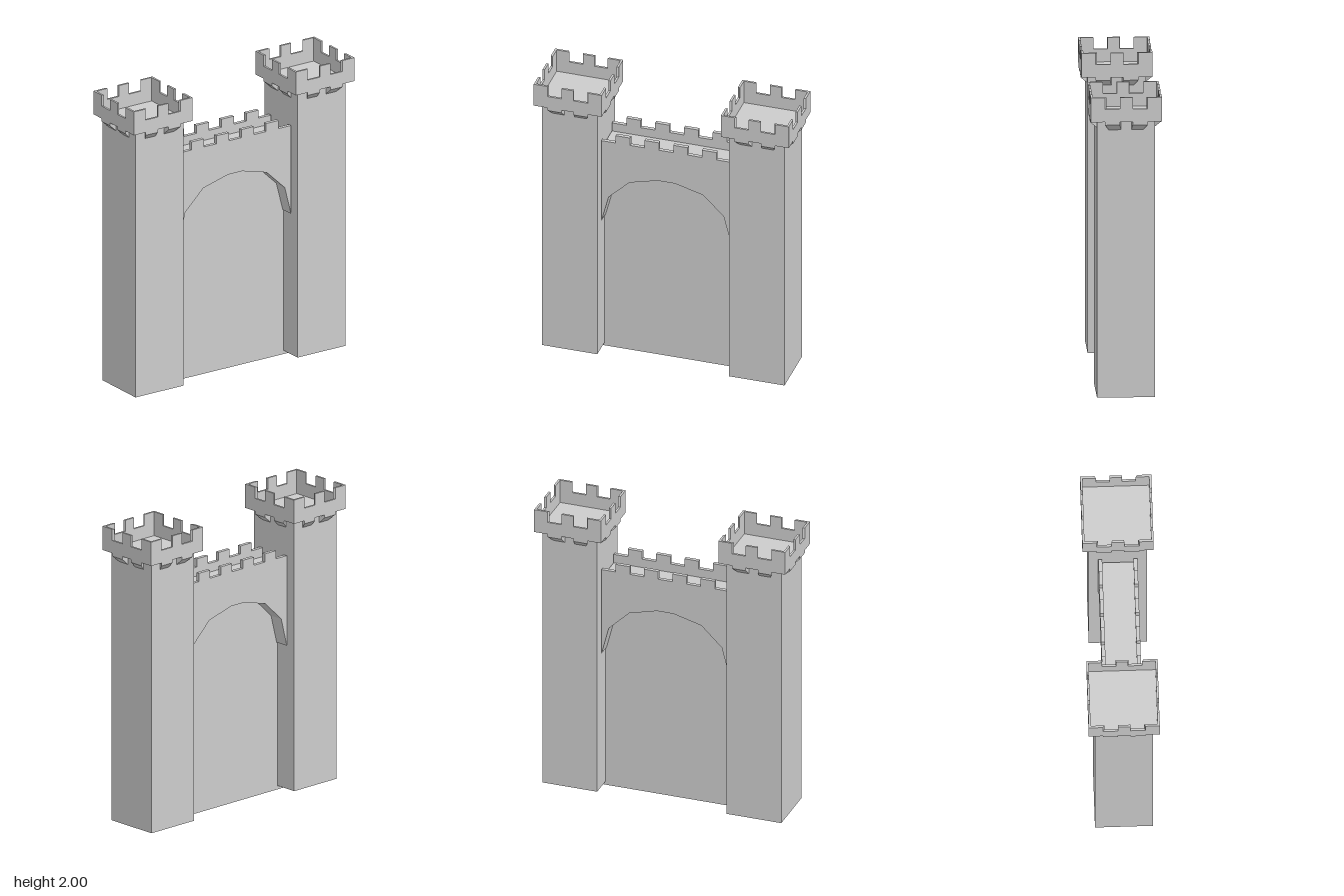
import * as THREE from 'three';

const mat = new THREE.MeshStandardMaterial({ color: 0xcccccc, flatShading: true, side: THREE.DoubleSide });

function add(parent, geometry, name, x = 0, y = 0, z = 0) {
  const mesh = new THREE.Mesh(geometry, mat);
  mesh.name = name;
  mesh.position.set(x, y, z);
  parent.add(mesh);
  return mesh;
}

const TOWER_X = 0.627, TOWER_R = 0.186, CROWN_R = 0.2275;
const FLOOR_Y = 1.84, TOP_Y = 2, BASE_Y = 0.025;

// Prism on one side of the crown: a quad profile of [scale, y] points, counter-clockwise
// as seen from +x with +z to the left, swept from u0 to u1 and shrinking towards the axis
function sector(profile, u0, u1) {
  const pos = [];
  for (const u of [u0, u1]) for (const [k, y] of profile) pos.push(u * k, y, CROWN_R * k);
  const index = [0, 2, 1, 0, 3, 2, 4, 5, 6, 4, 6, 7];
  for (let i = 0; i < 4; i++) {
    const j = (i + 1) % 4;
    index.push(i, j, j + 4, i, j + 4, i + 4);
  }
  const g = new THREE.BufferGeometry();
  g.setAttribute('position', new THREE.Float32BufferAttribute(pos, 3));
  g.setIndex(index);
  g.computeVertexNormals();
  return g;
}

function buildTower(name, x) {
  const tower = new THREE.Group();
  tower.name = name;
  tower.position.x = x;

  // Square shaft, open underneath
  const h = FLOOR_Y - BASE_Y;
  const shaft = new THREE.CylinderGeometry(TOWER_R * Math.SQRT2, TOWER_R * Math.SQRT2, h, 4, 1, true);
  add(tower, shaft.rotateY(Math.PI / 4), 'shaft', 0, BASE_Y + h / 2);

  // Crown floor, overhanging the shaft
  const floor = new THREE.PlaneGeometry(CROWN_R * 2, CROWN_R * 2).rotateX(-Math.PI / 2);
  add(tower, floor, 'crownFloor', 0, FLOOR_Y);

  // Four crown sides: merlon, gap, merlon, gap, merlon, with a corbel below each gap
  const cuts = [-CROWN_R, -0.136, -0.041, 0.041, 0.136, CROWN_R];
  const inner = 0.938, foot = TOWER_R / CROWN_R;
  for (let s = 0; s < 4; s++) {
    const side = new THREE.Group();
    side.name = 'crownSide';
    side.rotation.y = s * Math.PI / 2;
    for (let i = 0; i < 5; i++) {
      const gap = i % 2 === 1, top = gap ? 1.925 : TOP_Y;
      const rim = [[1, FLOOR_Y], [inner, FLOOR_Y], [inner, top], [1, top]];
      add(side, sector(rim, cuts[i], cuts[i + 1]), gap ? 'crenel' : 'merlon');
      if (gap) {
        const corbel = [[1, 1.82], [foot, 1.78], [foot, FLOOR_Y], [1, FLOOR_Y]];
        add(side, sector(corbel, cuts[i], cuts[i + 1]), 'corbel');
      }
    }
    tower.add(side);
  }
  return tower;
}

// Wall outline with an arched underside, and merlons along the top if wanted
function wallShape(top, merlonTop) {
  const W = 0.434, step = W * 2 / 9;
  const arch = [[-W, 0.99], [-0.385, 1.18], [-0.245, 1.315], [-0.055, 1.365]];
  const pts = [...arch, ...arch.map(([x, y]) => [-x, y]).reverse(), [W, top]];
  if (merlonTop) {
    for (let i = 3; i >= 0; i--) {
      const a = -W + step * (2 * i + 1), b = a + step;
      pts.push([b, top], [b, merlonTop], [a, merlonTop], [a, top]);
    }
  }
  pts.push([-W, top]);
  return new THREE.Shape(pts.map(([x, y]) => new THREE.Vector2(x, y)));
}

function buildWall() {
  const wall = new THREE.Group();
  wall.name = 'wall';
  const slab = (shape, depth) =>
    new THREE.ExtrudeGeometry(shape, { depth, bevelEnabled: false }).translate(0, 0, -depth / 2);

  // Core carrying the walkway
  add(wall, slab(wallShape(1.535), 0.2), 'walkway');

  for (const s of [1, -1]) {
    // Crenellated facing rising above the walkway
    add(wall, slab(wallShape(1.595, 1.65), 0.025), 'parapet', 0, 0, s * 0.1125);

    // Recessed gate panel, a bare sheet running into both towers
    const panel = add(wall, new THREE.PlaneGeometry(1.2, 1.45), 'gatePanel', 0, 0.725, s * 0.03);
    if (s < 0) panel.rotation.y = Math.PI;
  }
  return wall;
}

export function createModel() {
  const model = new THREE.Group();
  model.name = 'castleGate';
  model.add(buildTower('leftTower', TOWER_X), buildTower('rightTower', -TOWER_X), buildWall());
  return model;
}
